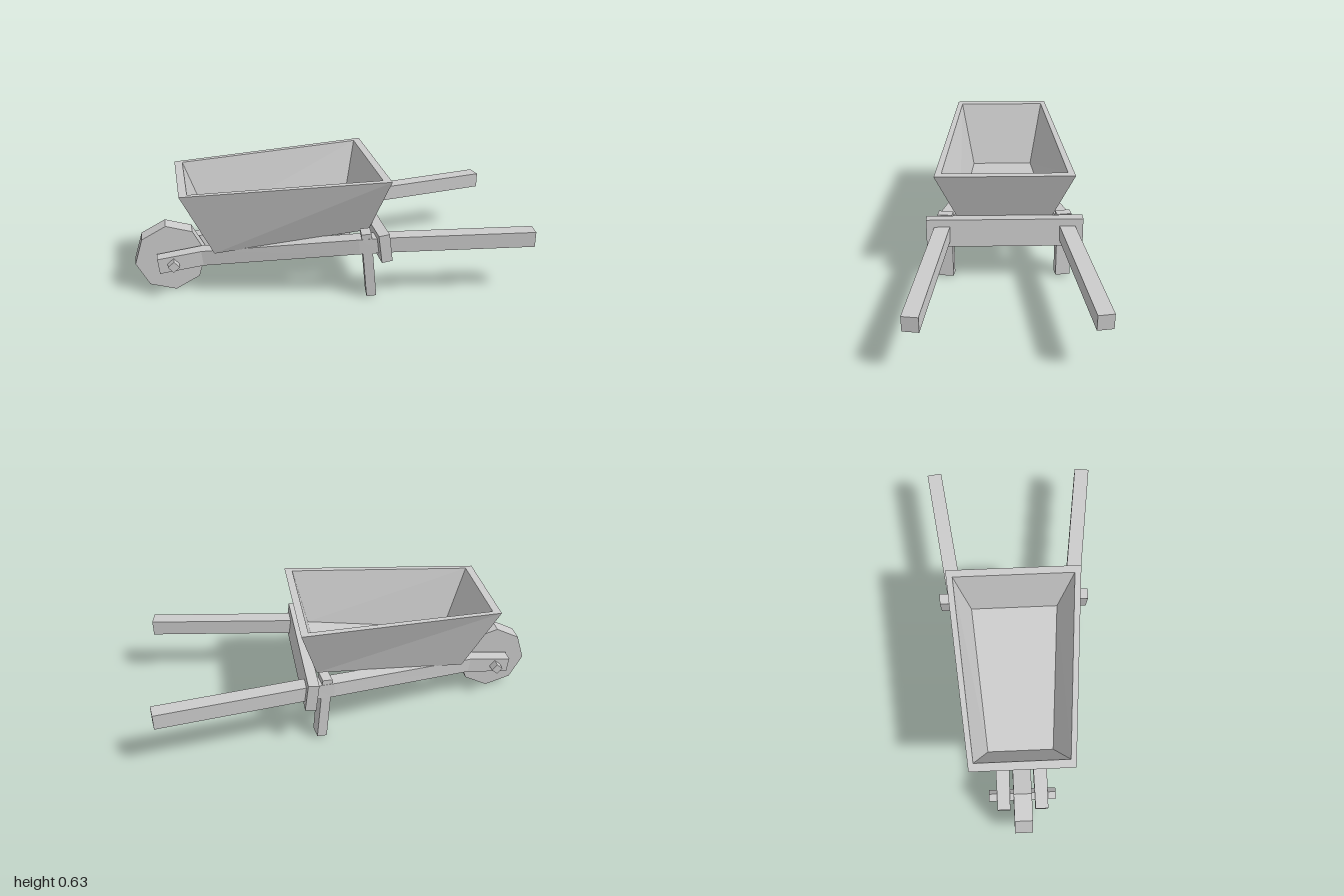
import * as THREE from 'three';

const material = new THREE.MeshStandardMaterial({ color: 0xcccccc, flatShading: true });

function addMesh(parent, name, geometry) {
  const mesh = new THREE.Mesh(geometry, material);
  mesh.name = name;
  parent.add(mesh);
  return mesh;
}

// Joins four-cornered rings into a closed solid with flat faces.
// Corners run counter-clockwise when looking back along the loft.
function loft(rings) {
  const positions = [];
  const quad = (a, b, c, d) => positions.push(...a, ...b, ...c, ...a, ...c, ...d);
  for (let r = 0; r < rings.length - 1; r++) {
    const a = rings[r], b = rings[r + 1];
    for (let i = 0; i < 4; i++) {
      const j = (i + 1) % 4;
      quad(a[i], a[j], b[j], b[i]);
    }
  }
  const first = rings[0], last = rings[rings.length - 1];
  quad(first[0], first[3], first[2], first[1]);
  quad(...last);
  const geometry = new THREE.BufferGeometry();
  geometry.setAttribute('position', new THREE.Float32BufferAttribute(positions, 3));
  geometry.computeVertexNormals();
  return geometry;
}

// Level ring of the tray: narrow at the wheel end, wide at the handle end
function trayRing(x0, y0, z0, x1, y1, z1) {
  return [[x0, y0, z0], [x1, y1, z1], [x1, y1, -z1], [x0, y0, -z0]];
}

// Cross-section of a shaft, turned by yaw and pitch
function shaftRing({ x, y, z, yaw, pitch, width }, side) {
  const turn = yaw * side;
  return [[-1, -1], [1, -1], [1, 1], [-1, 1]].map(([v, s]) => {
    const h = v * 0.04, w = s * width / 2;
    return [x - Math.sin(pitch) * h - Math.sin(turn) * w, y + h, z * side + Math.cos(turn) * w];
  });
}

export function createModel() {
  const model = new THREE.Group();
  model.name = 'wheelbarrow';

  // Hollow tray: outer base, outer rim, inner rim, floor
  addMesh(model, 'tray', loft([
    trayRing(-0.605, 0.252, 0.175, 0.175, 0.336, 0.23),
    trayRing(-0.762, 0.60, 0.253, 0.26, 0.632, 0.345),
    trayRing(-0.722, 0.601, 0.23, 0.222, 0.631, 0.31),
    trayRing(-0.60, 0.272, 0.167, 0.157, 0.353, 0.228),
  ]));

  // Eight-sided wheel
  const wheel = addMesh(model, 'wheel', new THREE.CylinderGeometry(0.181, 0.181, 0.09, 8).rotateX(Math.PI / 2));
  wheel.position.set(-0.82, 0.184, 0);
  wheel.rotation.z = 0.087;

  // Square axle set on its corner
  const axle = addMesh(model, 'axle', new THREE.BoxGeometry(0.042, 0.042, 0.34));
  axle.position.set(-0.81, 0.192, 0);
  axle.rotation.z = 0.7;

  // Crossbar behind the tray
  const crossbar = addMesh(model, 'crossbar', new THREE.BoxGeometry(0.055, 0.147, 0.79));
  crossbar.position.set(0.222, 0.302, 0);
  crossbar.rotation.z = 0.13;

  // Shaft stations from the wheel end to the grip
  const stations = [
    { x: -0.885, y: 0.182, z: 0.096, yaw: 0, pitch: 0.11, width: 0.064 },
    { x: -0.66, y: 0.208, z: 0.096, yaw: 0.13, pitch: 0.11, width: 0.07 },
    { x: 0.11, y: 0.294, z: 0.297, yaw: 0.2, pitch: 0.08, width: 0.078 },
    { x: 0.24, y: 0.30, z: 0.315, yaw: 0.14, pitch: 0.03, width: 0.078 },
    { x: 0.99, y: 0.308, z: 0.419, yaw: 0.14, pitch: 0, width: 0.078 },
  ];

  for (const side of [1, -1]) {
    const label = side > 0 ? 'front' : 'back';
    addMesh(model, label + 'Shaft', loft(stations.map((s) => shaftRing(s, side))));

    // Leg passing up through the shaft
    const leg = addMesh(model, label + 'Leg', new THREE.BoxGeometry(0.05, 0.35, 0.075));
    leg.position.set(0.158, 0.188, 0.302 * side);
    leg.rotation.set(0, -0.14 * side, 0.095, 'ZYX');
  }

  return model;
}
